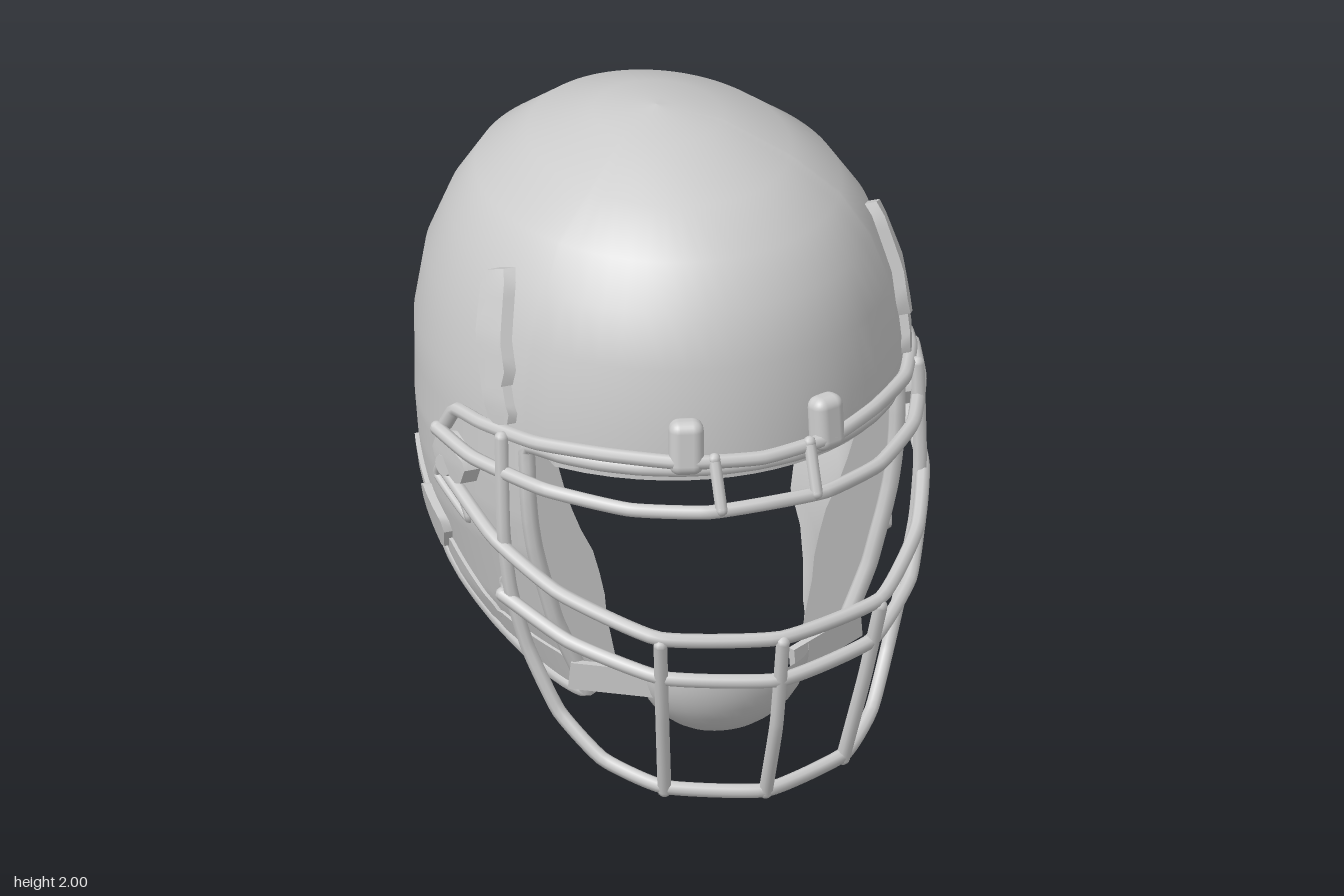
import * as THREE from 'three';
import { mergeGeometries, mergeVertices } from 'three/addons/utils/BufferGeometryUtils.js';
import { RoundedBoxGeometry } from 'three/addons/geometries/RoundedBoxGeometry.js';

const MAT = new THREE.MeshStandardMaterial({ color: 0xcccccc });
const INNER = new THREE.MeshStandardMaterial({ color: 0xcccccc, side: THREE.BackSide });
const THIN = new THREE.MeshStandardMaterial({ color: 0xcccccc, side: THREE.DoubleSide });
const V = (x, y, z) => new THREE.Vector3(x, y, z);

// Shell cross-sections: height, half width, front z, back z
const SECTIONS = [
  [2.0, 0.001, -0.129, -0.131], [1.975, 0.2, 0.1, -0.35], [1.89, 0.4, 0.38, -0.6],
  [1.77, 0.56, 0.53, -0.765], [1.64, 0.65, 0.635, -0.85], [1.47, 0.715, 0.69, -0.925],
  [1.27, 0.75, 0.715, -0.95], [1.0, 0.752, 0.72, -0.938], [0.87, 0.742, 0.712, -0.928],
  [0.75, 0.725, 0.7, -0.918], [0.5, 0.66, 0.66, -0.9], [0.2, 0.53, 0.6, -0.88],
];
// Lower edge of the shell: z, height
const RIM = [[0.34, 0.25], [0.28, 0.25], [0.2, 0.28], [0, 0.39], [-0.2, 0.52],
  [-0.4, 0.67], [-0.52, 0.71], [-0.65, 0.73], [-0.95, 0.75]];
// Cheek pad: height, rear z, added thickness
const CHEEK = [[1.12, -0.02, 0], [0.82, -0.02, 0.07], [0.72, -0.15, 0.1], [0.58, -0.18, 0.1], [0.32, 0.14, 0.04]];
const BROW = 1.14, EDGE_Z = 0.34;

// Linear lookup in a table sorted by a falling first column
function lookup(table, k) {
  let i = 0;
  while (i < table.length - 2 && table[i + 1][0] > k) i++;
  const a = table[i], b = table[i + 1];
  const t = THREE.MathUtils.clamp((a[0] - k) / (a[0] - b[0]), 0, 1);
  return a.map((v, n) => v + (b[n] - v) * t);
}
function section(y) {
  const [, w, f, b] = lookup(SECTIONS, y);
  return { w, c: (f + b) / 2, d: (f - b) / 2 };
}
function ringPoint(phi, y, inset = 0) {
  const { w, c, d } = section(y);
  return V(Math.max(w - inset, 0) * Math.sin(phi), y, c + Math.max(d - inset, 0) * Math.cos(phi));
}
function shellX(y, z) {
  const { w, c, d } = section(y);
  return w * Math.sqrt(Math.max(0, 1 - ((z - c) / d) ** 2));
}
function shellZ(x, y, sign) {
  const { w, c, d } = section(y);
  return c + sign * d * Math.sqrt(Math.max(0, 1 - (x / w) ** 2));
}
function edgePhi(y) {
  const { c, d } = section(y);
  return Math.acos((EDGE_Z - c) / d);
}
// Skirt runs from the left face edge (s = 0) round the back to the right one (s = 1)
function skirtPoint(s, y, inset = 0) {
  const p = edgePhi(y);
  return ringPoint(p + s * 2 * (Math.PI - p), y, inset);
}
function rimHeight(s) {
  let y = 0.6;
  for (let k = 0; k < 14; k++) y = (y + lookup(RIM, skirtPoint(s, y).z)[1]) / 2;
  return y;
}
function grid(rows, cols, point, skip = () => false) {
  const pts = [], index = [];
  for (let i = 0; i <= rows; i++) for (let j = 0; j <= cols; j++) pts.push(point(i, j));
  for (let i = 0; i < rows; i++) for (let j = 0; j < cols; j++) {
    const a = i * (cols + 1) + j, c = a + cols + 1;
    for (const t of [[a, c, c + 1], [a, c + 1, a + 1]]) if (!skip(...t.map((n) => pts[n]))) index.push(...t);
  }
  return new THREE.BufferGeometry().setFromPoints(pts).setIndex(index);
}
// Moves every vertex of a box by a rule, keeping its hard edges
function warpBox(segs, rule) {
  const g = new THREE.BoxGeometry(1, 1, 1, ...segs), p = g.attributes.position;
  for (let i = 0; i < p.count; i++) p.setXYZ(i, ...rule(p.getX(i), p.getY(i), p.getZ(i)));
  g.computeVertexNormals();
  return g;
}
// Slab following the side of the shell; place(a, b) gives [z, y, added depth]
const sideSlab = (place, inner, outer) => warpBox([1, 10, 8], (x, b, a) => {
  const [z, y, deep = 0] = place(a, b);
  return [shellX(y, z) + THREE.MathUtils.lerp(inner - deep, outer, x + 0.5), y, z];
});
function strap([z0, y0], [z1, y1], width, outer = 0.015) {
  const l = Math.hypot(z1 - z0, y1 - y0), dz = (z1 - z0) / l, dy = (y1 - y0) / l;
  return sideSlab((a, b) => {
    const w = width * b * (Math.abs(a) > 0.45 ? 0.6 : 1);
    return [(z0 + z1) / 2 + dz * a * l - dy * w, (y0 + y1) / 2 + dy * a * l + dz * w];
  }, -0.01, outer);
}
function tube(points, radius, closed = false, segs = points.length * 8) {
  const curve = new THREE.CatmullRomCurve3(points, closed, 'catmullrom', 0.25);
  const parts = [new THREE.TubeGeometry(curve, segs, radius, 8, closed)];
  if (!closed) for (const p of [points[0], points[points.length - 1]])
    parts.push(new THREE.SphereGeometry(radius, 8, 6).translate(p.x, p.y, p.z));
  return mergeGeometries(parts);
}

export function createModel() {
  const group = new THREE.Group();
  const add = (name, geometry, material = MAT) => {
    const mesh = new THREE.Mesh(geometry, material);
    mesh.name = name;
    group.add(mesh);
  };
  const pair = (name, source) => {
    const geometry = source.index ? source : mergeVertices(source);
    const other = geometry.clone().scale(-1, 1, 1), ix = other.index;
    for (let i = 0; i < ix.count; i += 3) {
      const t = ix.getX(i);
      ix.setX(i, ix.getX(i + 1));
      ix.setX(i + 1, t);
    }
    add(name + 'Left', geometry);
    add(name + 'Right', other);
  };

  // Shell: dome above the brow, skirt with ear holes below it
  const FRONT = 20, SKIRT = 160, ROWS = 44, p0 = edgePhi(BROW);
  const domeY = [2, 1.994, ...SECTIONS.slice(1, 7).map((s) => s[0]), BROW];
  const phiAt = (j) => j <= FRONT ? -p0 + 2 * p0 * j / FRONT
    : p0 + (j - FRONT) / SKIRT * 2 * (Math.PI - p0);
  const dome = (inset) => grid(domeY.length - 1, FRONT + SKIRT,
    (i, j) => ringPoint(phiAt(j), domeY[i], inset).setY(domeY[i] - inset * (domeY[i] - BROW)));
  const ear = [[0.07, 0.78], [-0.12, 0.85], [-0.06, 0.93], [0.0, 0.93]];
  const inEar = (z, y) => ear.every(([z0, y0], i) => {
    const [z1, y1] = ear[(i + 1) % ear.length];
    return (z1 - z0) * (y - y0) - (y1 - y0) * (z - z0) < 0;
  });
  const rims = Array.from({ length: SKIRT + 1 }, (_, j) => rimHeight(j / SKIRT));
  const skirt = grid(ROWS, SKIRT,
    (i, j) => skirtPoint(j / SKIRT, BROW + (rims[j] - BROW) * i / ROWS),
    (a, b, c) => inEar((a.z + b.z + c.z) / 3, (a.y + b.y + c.y) / 3));
  const shell = mergeVertices(mergeGeometries([dome(0), skirt]), 1e-4);
  shell.computeVertexNormals();
  add('shell', shell);
  const liner = mergeVertices(dome(0.05), 1e-4);
  liner.computeVertexNormals();
  add('crownLiner', liner, INNER);

  // Rolled edge round the bottom and the face opening
  const edge = [];
  for (let i = 0; i <= 48; i++) edge.push(skirtPoint(i / 48, rimHeight(i / 48), 0.012));
  for (let i = 1; i < 10; i++) edge.push(skirtPoint(1, 0.25 + (BROW - 0.25) * i / 10, 0.012));
  for (let i = 0; i <= 12; i++) edge.push(ringPoint(-p0 + 2 * p0 * i / 12, BROW, 0.012));
  for (let i = 9; i > 0; i--) edge.push(skirtPoint(0, 0.25 + (BROW - 0.25) * i / 10, 0.012));
  add('edgeTrim', tube(edge, 0.027, true, 240));
  pair('earHoleTrim', tube(ear.map(([z, y]) => V(shellX(y, z), y, z)), 0.015, true, 40));

  // Inside padding
  pair('cheekPad', sideSlab((a, b) => {
    const y = 0.72 + b * 0.8, [, rear, deep] = lookup(CHEEK, y);
    return [rear + (0.31 - rear) * (a + 0.5), y, deep];
  }, -0.12, -0.04));
  add('foreheadPad', warpBox([16, 2, 1], (x, y, z) =>
    [x * 1.12, 1.2 + y * 0.22, shellZ(x * 1.12, 1.2, 1) - 0.07 + z * 0.08]));
  add('neckPadLower', warpBox([10, 1, 1], (x, y, z) =>
    [x * 0.9, 0.81 + y * 0.14, shellZ(x * 0.9, 0.8, -1) + 0.1 + z * 0.14]));
  add('neckPadUpper', warpBox([10, 1, 1], (x, y, z) => {
    const px = x * (0.76 - y * 0.14);
    return [px, 0.94 + y * 0.13, shellZ(px, 0.9, -1) + 0.09 + y * 0.07 + z * 0.08];
  }));

  // Face guard: bars across, given from the middle to the model's left
  const bars = {
    browBar: [[0, 1.18, 0.76], [0.25, 1.19, 0.72], [0.45, 1.19, 0.58], [0.62, 1.18, 0.4],
      [0.72, 1.175, 0.2], [0.755, 1.17, 0.07], [0.77, 1.1, 0.02]],
    visorBar: [[0, 1.045, 0.81], [0.2, 1.04, 0.79], [0.42, 1.04, 0.68], [0.62, 1.05, 0.47],
      [0.75, 1.06, 0.2], [0.8, 1.09, 0.02]],
    upperMouthBar: [[0, 0.62, 0.91], [0.37, 0.64, 0.81], [0.6, 0.72, 0.55], [0.72, 0.82, 0.3], [0.77, 0.94, 0.0]],
    lowerMouthBar: [[0, 0.47, 0.9], [0.35, 0.49, 0.79], [0.57, 0.55, 0.56], [0.7, 0.63, 0.32]],
    jawBar: [[0, 0.03, 0.78], [0.3, 0.05, 0.68], [0.45, 0.11, 0.54], [0.55, 0.24, 0.42], [0.63, 0.45, 0.36],
      [0.68, 0.65, 0.34], [0.7, 0.85, 0.33], [0.7, 1.17, 0.31]],
  };
  for (const [name, half] of Object.entries(bars)) {
    const left = half.map((p) => V(...p));
    const right = left.slice(1).reverse().map((p) => V(-p.x, p.y, p.z));
    add(name, tube([...right, ...left], 0.023));
  }
  add('centreBar', tube([V(0, 0.61, 0.925), V(0, 0.3, 0.87), V(0, 0.025, 0.78)], 0.023));
  pair('mouthUpright', tube([V(0.37, 0.62, 0.82), V(0.34, 0.35, 0.76), V(0.3, 0.04, 0.68)], 0.023));
  pair('browUpright', tube([V(0.16, 1.2, 0.75), V(0.16, 1.05, 0.81)], 0.02));

  // Clips holding the guard
  pair('browClip', new RoundedBoxGeometry(0.11, 0.18, 0.085, 3, 0.035)
    .rotateX(-0.08).rotateY(0.3).translate(0.235, 1.235, 0.7));
  pair('sideClip', strap([0.15, 0.97], [0.0, 1.04], 0.1, 0.055));
  pair('sideClipScrew', new THREE.CylinderGeometry(0.035, 0.045, 0.06, 12)
    .rotateZ(-Math.PI / 2).rotateY(-0.3).translate(0.765, 0.97, 0.04));

  // Straps, buckles and snaps on the shell
  pair('upperStrap', strap([0.25, 1.32], [0.12, 1.66], 0.1, 0.04));
  pair('upperStrapLoop', strap([0.28, 1.2], [0.19, 1.42], 0.085, 0.03));
  pair('lowerStrap', strap([-0.12, 0.62], [-0.44, 0.82], 0.1));
  pair('lowerBuckle', strap([-0.12, 0.62], [-0.28, 0.72], 0.14, 0.028));
  pair('chinStrapFront', strap([0.34, 0.34], [0.07, 0.43], 0.08, 0.012));
  pair('chinStrapRear', strap([0.09, 0.42], [-0.16, 0.61], 0.08, 0.012));
  pair('snap', new THREE.TorusGeometry(0.026, 0.013, 6, 12)
    .rotateY(Math.PI / 2 - 0.25).translate(shellX(0.6, 0.21) + 0.012, 0.6, 0.21));
  pair('snapStud', new THREE.SphereGeometry(0.018, 8, 6).translate(shellX(0.6, 0.21) + 0.01, 0.6, 0.21));

  // Chin cup and its side wings
  add('chinCup', new THREE.SphereGeometry(1, 20, 10, 0, Math.PI, Math.PI / 2, Math.PI / 2)
    .scale(0.28, 0.25, 0.2).translate(0, 0.34, 0.42), THIN);
  pair('chinCupWing', new THREE.BoxGeometry(0.3, 0.09, 0.025)
    .rotateZ(0.1).rotateY(0.42).translate(0.35, 0.31, 0.41));
  return group;
}
